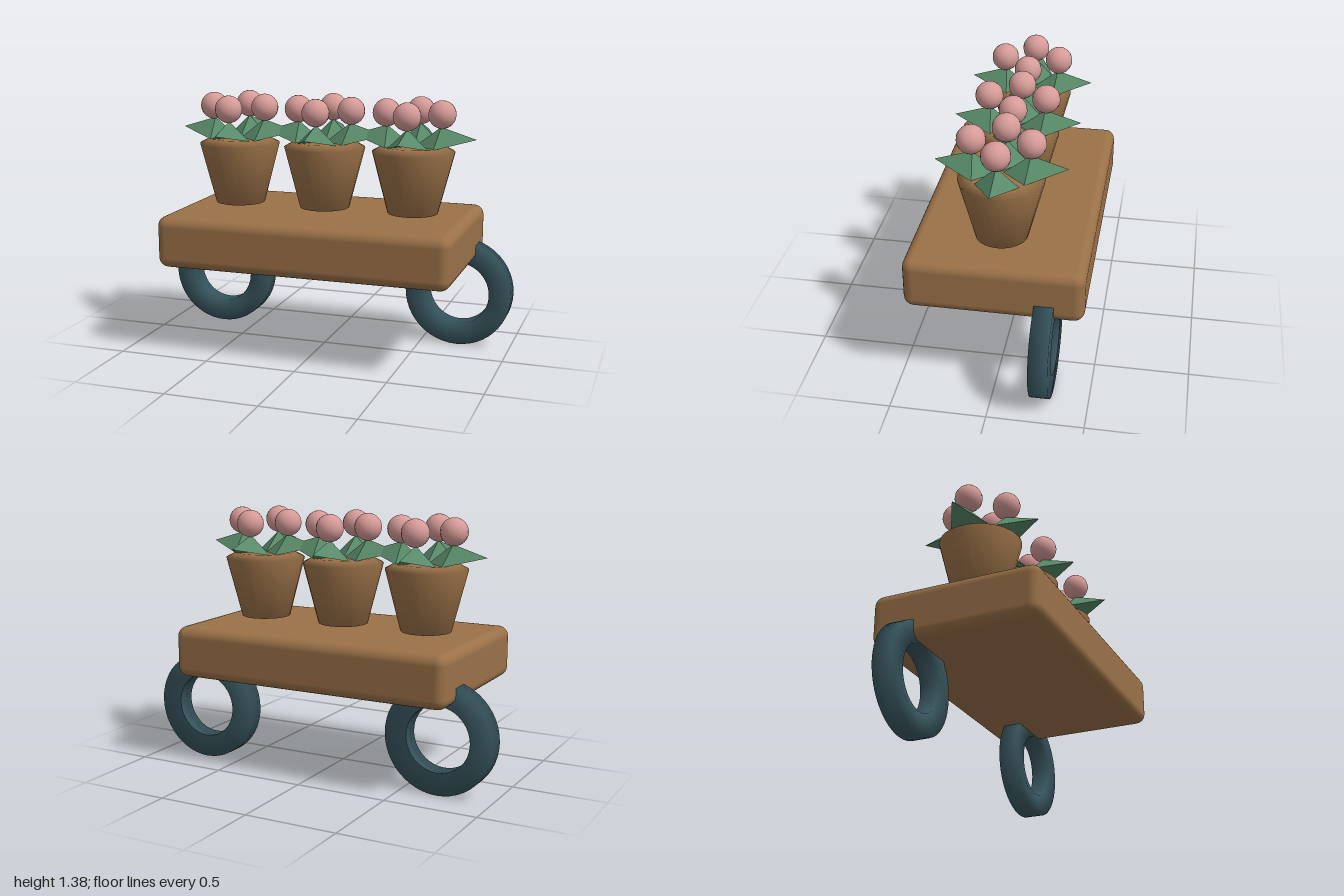
import * as THREE from 'three';
import { RoundedBoxGeometry } from 'three/addons/geometries/RoundedBoxGeometry.js';

const wood = new THREE.MeshStandardMaterial({ color: 0x9a7148 });
const rubber = new THREE.MeshStandardMaterial({ color: 0x36535c });
const petal = new THREE.MeshStandardMaterial({ color: 0xd69b98 });
const leafGreen = new THREE.MeshStandardMaterial({ color: 0x588a68, flatShading: true });

const lathe = (points, segments) =>
  new THREE.LatheGeometry(points.map(([r, y]) => new THREE.Vector2(r, y)), segments);

function addMesh(parent, name, geometry, material, x = 0, y = 0, z = 0) {
  const mesh = new THREE.Mesh(geometry, material);
  mesh.name = name;
  mesh.position.set(x, y, z);
  parent.add(mesh);
  return mesh;
}

// Folded leaf pointing along +z: root, raised ridge, tip and two side corners
function leafGeometry() {
  const C = [0, 0, 0.01], A = [0, 0.105, 0.145], T = [0, 0.046, 0.335];
  const L = [0.11, -0.003, 0.13], R = [-0.11, -0.003, 0.13];
  const faces = [C, A, L, A, T, L, C, R, A, A, R, T, C, L, T, C, T, R];
  const geometry = new THREE.BufferGeometry();
  geometry.setAttribute('position', new THREE.Float32BufferAttribute(faces.flat(), 3));
  geometry.computeVertexNormals();
  return geometry;
}

export function createModel() {
  const model = new THREE.Group();
  model.name = 'flowerCart';

  // Deck with softened edges
  addMesh(model, 'deck', new RoundedBoxGeometry(1.6, 0.28, 0.92, 3, 0.055), wood, 0, 0.62, 0);

  // Two ring wheels towards the back
  const ring = lathe([[0.175, -0.05], [0.295, -0.05], [0.295, 0.05], [0.175, 0.05], [0.175, -0.05]], 48);
  ring.rotateX(Math.PI / 2);
  for (const side of [-1, 1]) {
    addMesh(model, side > 0 ? 'leftWheel' : 'rightWheel', ring, rubber, side * 0.705, 0.295, -0.26);
  }

  // Three pots, each with four leaves and four round blooms
  const pot = lathe([[0, 0.78], [0.135, 0.78], [0.22, 1.11], [0.165, 1.14], [0, 1.14]], 24);
  const leaf = leafGeometry();
  const bloom = new THREE.SphereGeometry(0.074, 16, 12);
  for (const x of [-0.495, 0, 0.495]) {
    const plant = new THREE.Group();
    plant.name = 'pottedPlant';
    plant.position.x = x;
    addMesh(plant, 'pot', pot, wood);
    for (let i = 0; i < 4; i++) {
      const angle = i * Math.PI / 2;
      addMesh(plant, 'leaf', leaf, leafGreen, 0, 1.14, 0).rotation.y = angle;
      addMesh(plant, 'bloom', bloom, petal, 0.15 * Math.sin(angle), 1.31, 0.15 * Math.cos(angle));
    }
    model.add(plant);
  }
  return model;
}
